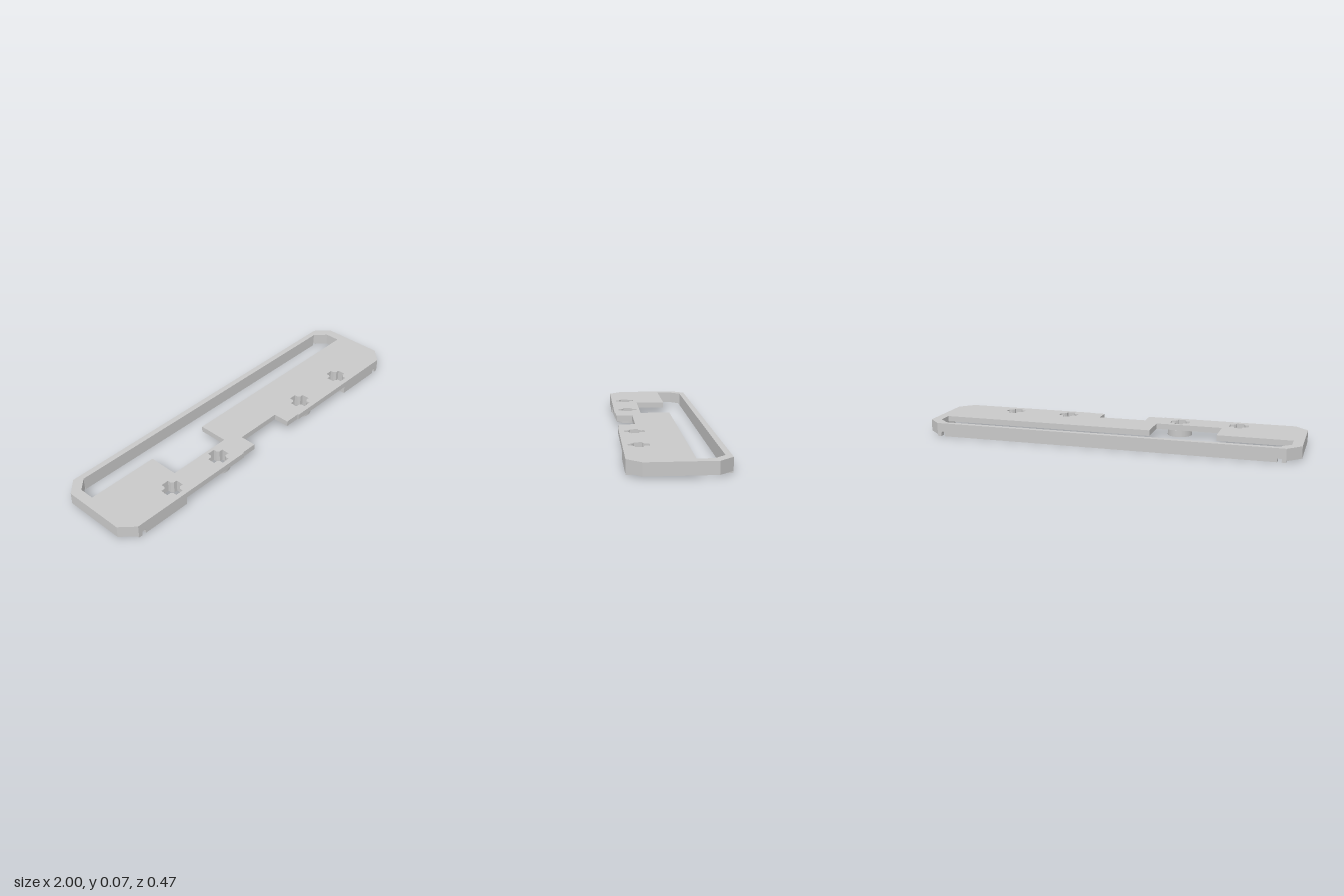
import * as THREE from 'three';

const grey = new THREE.MeshStandardMaterial({ color: 0xc8c8c8 });
grey.name = 'plain grey';

const TOP = 0.071, UNDER = 0.041, END_BOTTOM = 0.009;
const BOSS_X = [-0.642, -0.322, 0.318, 0.638], BOSS_Z = 0.158, BOSS_R = 0.066;

// plan points are [x, z], listed clockwise as seen from above
const toPlan = (pts) => pts.map(([x, z]) => new THREE.Vector2(x, -z)).reverse();

// extrude a plan shape upward between two heights
function slab(name, shape, y0, y1) {
  const geo = new THREE.ExtrudeGeometry(shape, { depth: y1 - y0, bevelEnabled: false, curveSegments: 32 });
  geo.rotateX(-Math.PI / 2);
  geo.translate(0, y0, 0);
  const mesh = new THREE.Mesh(geo, grey);
  mesh.name = name;
  return mesh;
}

// cross-shaped hole with cut inner corners
function crossHole(cx, cz) {
  const pts = [];
  for (let i = 0; i < 4; i++) {
    const c = Math.cos(i * Math.PI / 2), s = Math.sin(i * Math.PI / 2);
    for (const [x, z] of [[0.051, -0.021], [0.051, 0.021], [0.032, 0.021], [0.021, 0.032]]) {
      pts.push([cx + x * c - z * s, cz + x * s + z * c]);
    }
  }
  return new THREE.Path(toPlan(pts));
}

// upright wall along x, with small arched slots in its lower edge
function wall(name, x0, x1, z0, z1, slots) {
  const s = new THREE.Shape();
  s.moveTo(x0, 0);
  for (const x of slots) {
    s.lineTo(x - 0.011, 0);
    s.lineTo(x - 0.011, 0.014);
    s.absarc(x, 0.014, 0.011, Math.PI, 0, true);
    s.lineTo(x + 0.011, 0);
  }
  s.lineTo(x1, 0);
  s.lineTo(x1, UNDER);
  s.lineTo(x0, UNDER);
  const geo = new THREE.ExtrudeGeometry(s, { depth: z1 - z0, bevelEnabled: false, curveSegments: 6 });
  geo.translate(0, 0, z0);
  const mesh = new THREE.Mesh(geo, grey);
  mesh.name = name;
  return mesh;
}

export function createModel() {
  const model = new THREE.Group();
  model.name = 'mountingPlate';

  // top plate: chamfered outline with the front notch
  const plate = new THREE.Shape(toPlan([
    [-1, -0.166], [-0.93, -0.235], [0.93, -0.235], [1, -0.166], [1, 0.166], [0.93, 0.235],
    [0.215, 0.235], [0.215, 0.229], [0.13, 0.229], [0.13, 0.142],
    [-0.13, 0.142], [-0.13, 0.229], [-0.215, 0.229], [-0.215, 0.235],
    [-0.93, 0.235], [-1, 0.166],
  ]));
  // long rear opening with its rectangular bay
  plate.holes.push(new THREE.Path(toPlan([
    [-0.948, -0.15], [-0.89, -0.205], [0.89, -0.205], [0.948, -0.15], [0.948, -0.07],
    [-0.207, -0.07], [-0.207, 0.09], [-0.56, 0.09], [-0.56, -0.07], [-0.948, -0.07],
  ])));
  for (const x of BOSS_X) plate.holes.push(crossHole(x, BOSS_Z));
  model.add(slab('topPlate', plate, UNDER, TOP));

  // round bosses under the cross holes
  for (const x of BOSS_X) {
    const ring = new THREE.Shape();
    ring.absarc(x, -BOSS_Z + 0.006, BOSS_R, 0, Math.PI * 2, false);
    ring.holes.push(crossHole(x, BOSS_Z));
    model.add(slab('boss', ring, 0.005, UNDER));
  }

  // lower rim: slotted back bar and two front walls
  model.add(wall('backBar', -0.93, 0.93, -0.235, -0.205, [-0.898, 0.898]));
  model.add(wall('frontWallRight', -0.93, -0.62, 0.207, 0.235, [-0.898]));
  model.add(wall('frontWallLeft', 0.62, 0.93, 0.207, 0.235, [0.898]));

  // lower rim: chamfered ends, closing the rear corners of the opening
  for (const s of [-1, 1]) {
    const end = new THREE.Shape(toPlan([
      [0.93, 0.235], [1, 0.166], [1, -0.166], [0.93, -0.235], [0.93, -0.205], [0.89, -0.205],
      [0.948, -0.15], [0.948, -0.07], [0.96, -0.07], [0.96, 0.152], [0.918, 0.194], [0.93, 0.207],
    ].map(([x, z]) => [s * x, z])));
    model.add(slab(s > 0 ? 'endWallLeft' : 'endWallRight', end, END_BOTTOM, UNDER));
  }
  return model;
}
